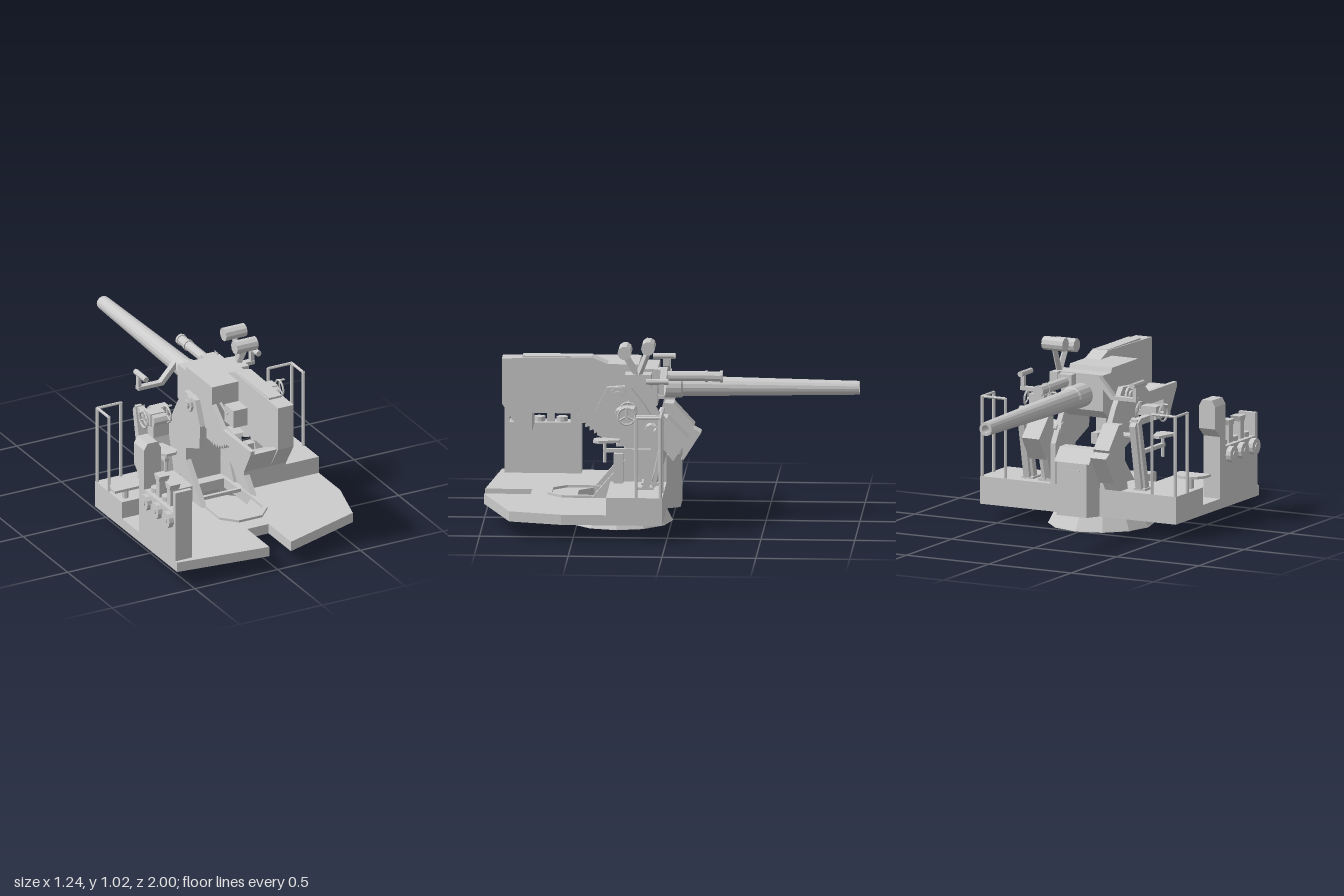
import * as THREE from 'three';

const CX = 0.02; // centre plane of the gun
const mat = new THREE.MeshStandardMaterial({ color: 0xcccccc, flatShading: true, side: THREE.DoubleSide });

export function createModel() {
  const root = new THREE.Group();
  root.name = 'deckGun';

  const add = (name, geo, parent = root) => {
    const m = new THREE.Mesh(geo, mat);
    m.name = name;
    parent.add(m);
    return m;
  };
  // box from its limits
  const box = (name, x0, x1, y0, y1, z0, z1, parent) =>
    add(name, new THREE.BoxGeometry(x1 - x0, y1 - y0, z1 - z0)
      .translate((x0 + x1) / 2, (y0 + y1) / 2, (z0 + z1) / 2), parent);
  const toShape = (pts) => new THREE.Shape(pts.map((p) => new THREE.Vector2(...p)));
  const extrude = (shape, depth) => new THREE.ExtrudeGeometry(shape, { depth, bevelEnabled: false });
  // side profile (z, y) extruded from x0 to x1
  const side = (name, pts, x0, x1, parent) =>
    add(name, extrude(toShape(pts), x1 - x0).rotateY(-Math.PI / 2).translate(x1, 0, 0), parent);
  // plan outline (x, z) extruded from y0 to y1
  const plan = (name, pts, y0, y1, hole, parent) => {
    const s = toShape(pts);
    if (hole) s.holes.push(toShape(hole));
    return add(name, extrude(s, y1 - y0).rotateX(Math.PI / 2).translate(0, y1, 0), parent);
  };
  // cylinder or square bar between two points
  const rod = (name, a, b, r, sides = 8, parent, r2 = r) => {
    const p = new THREE.Vector3(...a), q = new THREE.Vector3(...b), d = q.clone().sub(p);
    const m = add(name, new THREE.CylinderGeometry(r2, r, d.length(), sides), parent);
    m.position.copy(p).add(q).multiplyScalar(0.5);
    m.quaternion.setFromUnitVectors(new THREE.Vector3(0, 1, 0), d.normalize());
    return m;
  };

  // ---- base and platform ----
  add('baseRing', new THREE.CylinderGeometry(0.24, 0.285, 0.09, 12, 1, true).translate(CX, 0.045, 0.28));
  add('baseFloor', new THREE.CylinderGeometry(0.284, 0.285, 0.004, 12).translate(CX, 0.002, 0.28));
  const pit = [[-0.1, 0.14], [0.14, 0.14], [0.15, 0.42], [0.08, 0.5], [-0.04, 0.5], [-0.11, 0.42]];
  plan('platform', [[-0.575, 0.02], [0.615, 0.02], [0.615, 0.56], [0.54, 0.84], [0.08, 1], [0.08, 0.75],
    [-0.05, 0.75], [-0.05, 1], [-0.575, 0.94]], 0.09, 0.145, pit);
  plan('raisedDeck', [[-0.575, 0.02], [0.615, 0.02], [0.615, 0.32], [0.19, 0.32], [0.15, 0.08], [-0.11, 0.08],
    [-0.15, 0.32], [-0.575, 0.32]], 0.145, 0.24);
  const rim = [[-0.125, 0.3], [0.165, 0.3], [0.165, 0.58], [0.09, 0.66], [-0.05, 0.66], [-0.125, 0.58]];
  const rimInner = rim.map(([x, z]) => [CX + (x - CX) * 0.86, 0.46 + (z - 0.46) * 0.88]);
  plan('pitRim', rim, 0.14, 0.158, rimInner);

  // ---- mount: front housing and trunnion cheeks ----
  plan('frontHousing', [[-0.11, 0.08], [-0.11, 0.02], [-0.07, -0.05], [0.11, -0.05], [0.15, 0.02], [0.15, 0.08]], 0.09, 0.38);
  side('housingTop', [[0.08, 0.38], [-0.05, 0.38], [0.01, 0.45], [0.08, 0.45]], -0.085, 0.125);
  box('housingSlot', -0.03, 0.07, 0.335, 0.342, -0.053, -0.04);
  const cheek = [[0.42, 0.15], [0.24, 0.36], [0.24, 0.43], [0.39, 0.49], [0.4, 0.62], [0.34, 0.75], [0.22, 0.76],
    [0.14, 0.66], [0.02, 0.46], [0.02, 0.15], [0.22, 0.15], [0.17, 0.26], [0.33, 0.15]];
  for (const s of [-1, 1]) {
    const x = CX + s * 0.15;
    side('trunnionCheek', cheek, x - 0.015, x + 0.015);
    rod('trunnionCap', [CX + s * 0.13, 0.71, 0.28], [CX + s * 0.178, 0.71, 0.28], 0.045, 12);
    rod('trunnionPin', [CX + s * 0.17, 0.71, 0.28], [CX + s * 0.19, 0.71, 0.28], 0.025, 10);
  }

  // ---- elevating mass ----
  const gun = new THREE.Group();
  gun.name = 'gun';
  root.add(gun);
  side('receiver', [[0.44, 0.6], [0.44, 0.845], [0.34, 0.87], [0.17, 0.87], [0.16, 0.845], [0.07, 0.845],
    [0.07, 0.65], [0.14, 0.6]], -0.105, 0.15, gun);
  box('receiverBack', -0.105, 0.055, 0.66, 0.87, 0.32, 0.46, gun);
  side('rightGuard', [[0.9, 0.65], [0.9, 0.895], [0.42, 0.905], [0.3, 0.855], [0.3, 0.6], [0.74, 0.6], [0.74, 0.5],
    [0.815, 0.5], [0.815, 0.52]], 0.055, 0.15, gun);
  box('guardTopPlate', 0.062, 0.138, 0.895, 0.908, 0.42, 0.79, gun);
  side('leftGuard', [[0.89, 0.65], [0.89, 0.67], [0.58, 0.67], [0.42, 0.8], [0.3, 0.8], [0.3, 0.6], [0.74, 0.6],
    [0.74, 0.5], [0.815, 0.5], [0.815, 0.52]], -0.105, -0.08, gun);
  side('guardBottom', [[0.89, 0.65], [0.86, 0.65], [0.74, 0.6], [0.74, 0.5], [0.815, 0.5], [0.815, 0.52]], -0.08, 0.055, gun);
  box('breechBlock', -0.03, 0.055, 0.655, 0.755, 0.44, 0.56, gun);
  rod('breechLever', [-0.065, 0.78, 0.48], [-0.05, 0.73, 0.53], 0.008, 6, gun);

  // barrel with a hollow muzzle
  const barrel = add('barrel', new THREE.LatheGeometry([[0, 0.9], [0.02, 0.9], [0.022, 1], [0.037, 1], [0.038, 0.98],
    [0.056, 0.06], [0.064, 0.05], [0.064, -0.1]].map((p) => new THREE.Vector2(...p)), 16), gun);
  barrel.rotation.x = -Math.PI / 2;
  barrel.position.set(CX, 0.73, 0);
  // recoil cylinder over the barrel
  rod('recoilCylinder', [0.1, 0.8, 0.12], [0.1, 0.8, -0.27], 0.027, 10, gun);
  for (const z of [-0.18, -0.26]) rod('recoilCollar', [0.1, 0.8, z], [0.1, 0.8, z - 0.015], 0.032, 10, gun);
  box('recoilBracket', 0.06, 0.14, 0.77, 0.84, 0.02, 0.1, gun);

  // toothed elevating sector
  const arc = [[0.28, 0.62]];
  for (let i = 0; i <= 22; i++) {
    const a = -0.4 - i * 0.055, r = i % 2 ? 0.255 : 0.275;
    arc.push([0.28 + r * Math.cos(a), 0.71 + r * Math.sin(a)]);
  }
  side('elevatingSector', arc, -0.01, 0.05, gun);
  box('elevatingPinion', 0.0, 0.04, 0.44, 0.5, 0.2, 0.28);

  // ---- sights ----
  for (const s of [-1, 1]) {
    const X = (d) => CX + s * d;
    const armShape = toShape([[X(0.352), 0.73], [X(0.352), 0.75], [X(0.215), 0.75], [X(0.125), 0.85],
      [X(0.125), 0.81], [X(0.2), 0.73]]);
    add('sightArm', extrude(armShape, 0.035).translate(0, 0, 0.02), gun);
    box('sightPost', X(0.34) - 0.01, X(0.34) + 0.01, 0.75, 0.81, 0.025, 0.05, gun);
    rod('sightTube', [X(0.34), 0.82, 0], [X(0.34), 0.82, 0.12], 0.016, 8, gun);
  }
  box('opticBracket', 0.15, 0.235, 0.76, 0.83, 0.1, 0.24, gun);
  for (const [y, z] of [[0.955, 0.24], [0.98, 0.115]]) {
    rod('opticDrum', [0.147, y, z], [0.275, y, z], 0.037, 10, gun);
    rod('opticStem', [0.215, 0.82, 0.17], [0.215, y - 0.02, z], 0.018, 4, gun);
  }

  // ---- crew stations: leaning post, gearbox, handwheels and seat ----
  for (const s of [-1, 1]) {
    const g = new THREE.Group();
    g.name = 'crewStation';
    g.position.x = CX + s * 0.34;
    root.add(g);
    box('postFoot', -0.035, 0.035, 0.24, 0.252, 0.08, 0.17, g);
    side('rearPost', [[0.14, 0.25], [0.1, 0.25], [0.02, 0.62], [0.05, 0.64]], -0.028, 0.028, g);
    side('frontPost', [[0.09, 0.25], [0.07, 0.25], [0, 0.6], [0.02, 0.62]], -0.018, 0.018, g);
    box('headArm', -0.018, 0.018, 0.6, 0.635, 0.02, 0.22, g);
    box('gearbox', -0.045, 0.045, 0.61, 0.68, 0.18, 0.25, g);
    rod('gearboxDrum', [-0.04, 0.645, 0.255], [0.04, 0.645, 0.255], 0.032, 8, g);
    for (const w of [-1, 1]) {
      rod('wheelAxle', [w * 0.04, 0.645, 0.22], [w * 0.075, 0.645, 0.22], 0.008, 6, g);
      add('handwheel', new THREE.TorusGeometry(0.045, 0.006, 5, 14).rotateY(Math.PI / 2).translate(w * 0.07, 0.645, 0.22), g);
      for (let i = 0; i < 3; i++) {
        const a = (i / 3) * Math.PI * 2, dy = 0.044 * Math.cos(a), dz = 0.044 * Math.sin(a);
        rod('wheelSpoke', [w * 0.07, 0.645, 0.22], [w * 0.07, 0.645 + dy, 0.22 + dz], 0.005, 4, g);
      }
      rod('wheelGrip', [w * 0.07, 0.69, 0.22], [w * 0.1, 0.69, 0.22], 0.006, 6, g);
    }
    // seat on its bracket
    box('seatArm', -0.012, 0.012, 0.435, 0.455, 0.08, 0.35, g);
    rod('seatStem', [0, 0.38, 0.34], [0, 0.49, 0.34], 0.01, 6, g);
    plan('seat', [[-0.02, 0.26], [0.02, 0.26], [0.052, 0.37], [0.03, 0.4], [-0.03, 0.4], [-0.052, 0.37]], 0.49, 0.505, null, g);
    rod('driveShaft', [-s * 0.03, 0.535, 0.07], [-s * 0.19, 0.535, 0.07], 0.016, 8, g);

    // corner guard rail
    const x0 = CX + s * 0.445, x1 = CX + s * 0.587;
    const corners = [[x0, 0.03], [x1, 0.03], [x1, 0.16]];
    corners.forEach(([x, z], i) => {
      rod('railPost', [x, 0.24, z], [x, 0.675, z], 0.009, 6);
      if (i) rod('railTop', [corners[i - 1][0], 0.672, corners[i - 1][1]], [x, 0.672, z], 0.008, 6);
    });
  }

  // ---- drive boxes beside the mount ----
  side('leftDriveBox', [[0.05, 0.6], [0, 0.6], [-0.11, 0.48], [-0.1, 0.465], [-0.145, 0.44], [-0.05, 0.29], [-0.02, 0.31],
    [0.02, 0.24], [0.1, 0.24], [0.05, 0.43]], -0.24, -0.145);
  side('rightDriveBox', [[0.06, 0.61], [0.01, 0.61], [-0.1, 0.5], [-0.02, 0.375], [0.06, 0.48]], 0.19, 0.295);
  rod('rightDriveColumn', [0.24, 0.24, 0.1], [0.24, 0.5, 0.03], 0.037, 8);
  box('rightDriveFoot', 0.19, 0.285, 0.24, 0.255, 0.06, 0.15);
  rod('rightSightMotor', [0.15, 0.53, 0.1], [0.26, 0.53, 0.1], 0.035, 8);
  box('rightStep', 0.195, 0.235, 0.24, 0.4, 0.25, 0.3).scale.y = 0.999;

  // ---- side seat, cabinet and ready rack ----
  const halfRound = [[-0.435, 0.325], [-0.62, 0.325]];
  for (let i = 0; i <= 8; i++) {
    const a = Math.PI - (i / 8) * Math.PI;
    halfRound.push([-0.527 + 0.093 * Math.cos(a), 0.29 - 0.093 * Math.sin(a)]);
  }
  plan('sideSeat', halfRound, 0.302, 0.316);
  rod('sideSeatStem', [-0.527, 0.24, 0.27], [-0.527, 0.305, 0.27], 0.018, 8);

  side('cabinetBody', [[0.57, 0.145], [0.51, 0.145], [0.51, 0.48], [0.455, 0.53], [0.455, 0.65], [0.57, 0.65]], -0.575, -0.475);
  add('cabinetRoof', extrude(toShape([[-0.575, 0.65], [-0.555, 0.685], [-0.495, 0.685], [-0.475, 0.65]]), 0.115).translate(0, 0, 0.455));
  rod('cabinetDial', [-0.48, 0.62, 0.512], [-0.47, 0.62, 0.512], 0.025, 10);

  box('rackBody', -0.575, -0.475, 0.145, 0.42, 0.56, 0.92);
  box('rackEndWall', -0.575, -0.475, 0.42, 0.545, 0.895, 0.92);
  for (const z of [0.615, 0.735, 0.86]) {
    rod('rackSocket', [-0.525, 0.42, z], [-0.525, 0.445, z], 0.03, 10);
    rod('rackDisc', [-0.575, 0.37, z], [-0.603, 0.37, z], 0.045, 12);
    rod('rackHub', [-0.6, 0.37, z], [-0.608, 0.37, z], 0.018, 8);
  }
  for (const z of [0.675, 0.797]) {
    box('rackDivider', -0.55, -0.5, 0.42, 0.52, z - 0.02, z + 0.02);
    side('rackDividerTop', [[z - 0.02, 0.515], [z + 0.02, 0.515], [z + 0.032, 0.545], [z - 0.032, 0.545]], -0.555, -0.495);
  }
  return root;
}
